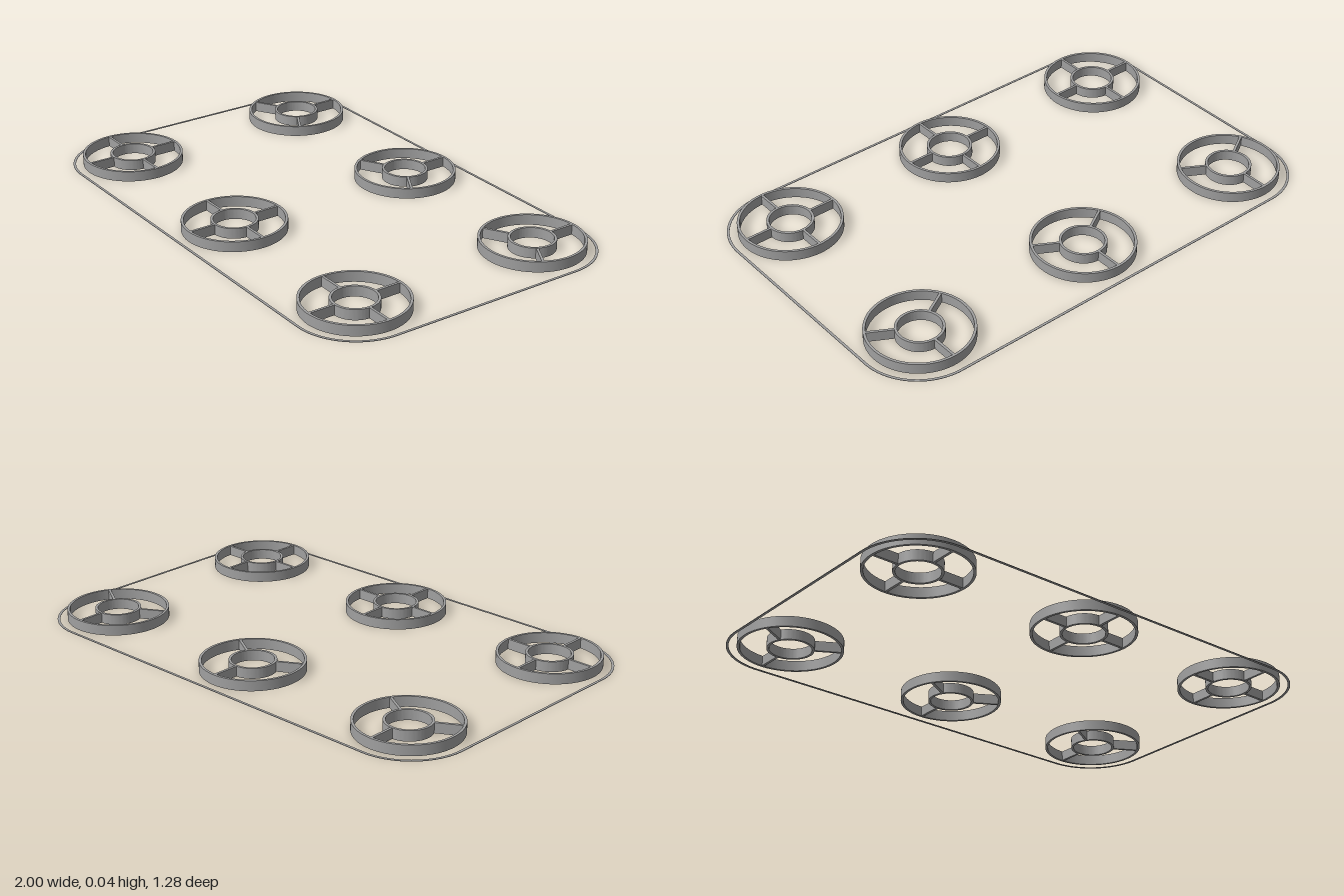
import * as THREE from 'three';
import { toCreasedNormals } from 'three/addons/utils/BufferGeometryUtils.js';

const HEIGHT = 0.041, WALL = 0.01;
const OUTER = 0.2, HUB = 0.09;

// Extrudes a shape upward from y = 0, smooth round the curves and sharp at the rims
function slab(shape, depth) {
  const g = new THREE.ExtrudeGeometry(shape, { depth, bevelEnabled: false, curveSegments: 48 });
  g.rotateX(-Math.PI / 2);
  return toCreasedNormals(g, 0.6);
}

function ringGeometry(radius) {
  const shape = new THREE.Shape().absarc(0, 0, radius, 0, Math.PI * 2);
  shape.holes.push(new THREE.Path().absarc(0, 0, radius - WALL, 0, Math.PI * 2));
  return slab(shape, HEIGHT);
}

// Rounded rectangle whose corner arcs are centred at (±cx, ±cz)
function roundedOutline(path, cx, cz, r) {
  [[1, 1], [-1, 1], [-1, -1], [1, -1]].forEach(([sx, sz], i) => {
    path.absarc(sx * cx, sz * cz, r, i * Math.PI / 2, (i + 1) * Math.PI / 2);
  });
  path.closePath();
  return path;
}

export function createModel() {
  const model = new THREE.Group();
  model.name = 'wheelSet';
  const grey = new THREE.MeshStandardMaterial({ color: 0xa0a0a0 });
  grey.name = 'grey';

  const add = (parent, geometry, name) => {
    const mesh = new THREE.Mesh(geometry, grey);
    mesh.name = name;
    parent.add(mesh);
    return mesh;
  };

  // Thin border around all the wheels
  const border = roundedOutline(new THREE.Shape(), 0.76, 0.4, 0.24);
  border.holes.push(roundedOutline(new THREE.Path(), 0.76, 0.4, 0.23));
  add(model, slab(border, 0.002), 'border');

  // Shared wheel parts; the spoke points towards the back
  const rim = ringGeometry(OUTER);
  const hub = ringGeometry(HUB);
  const inner = HUB - WALL / 2, outer = OUTER - WALL / 2;
  const spoke = new THREE.BoxGeometry(WALL, HEIGHT - 0.001, outer - inner);
  spoke.translate(0, HEIGHT / 2, -(inner + outer) / 2);

  // Back row has three spokes, front row has four
  for (const [row, z, count] of [['back', -0.4, 3], ['front', 0.4, 4]]) {
    for (const [side, x] of [['Right', -0.76], ['Middle', 0], ['Left', 0.76]]) {
      const wheel = new THREE.Group();
      wheel.name = `${row}${side}Wheel`;
      wheel.position.set(x, 0, z);
      add(wheel, rim, 'rim');
      add(wheel, hub, 'hub');
      for (let i = 0; i < count; i++) {
        add(wheel, spoke, 'spoke').rotation.y = i * Math.PI * 2 / count;
      }
      model.add(wheel);
    }
  }
  return model;
}
